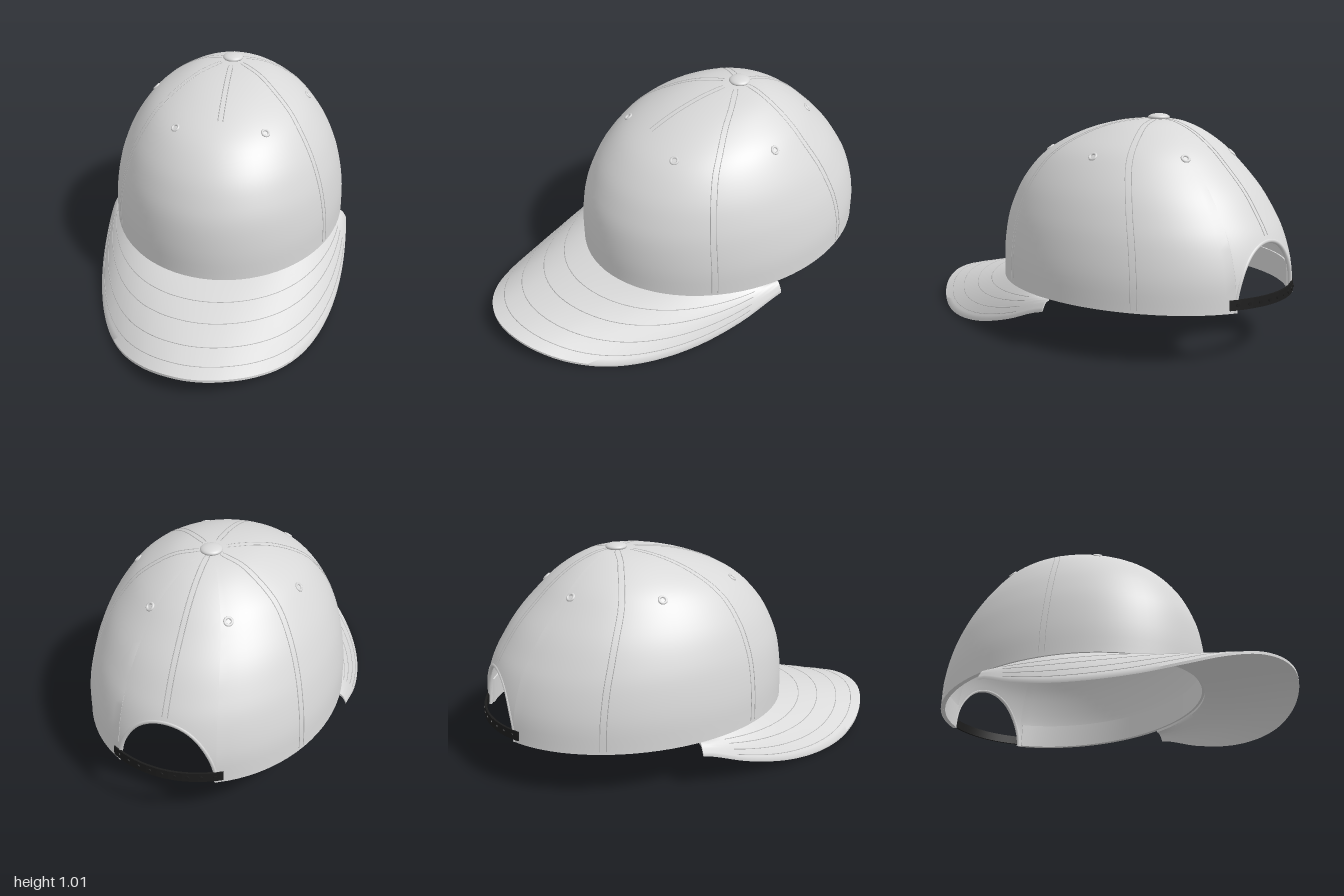
import * as THREE from 'three';
import { toCreasedNormals } from 'three/addons/utils/BufferGeometryUtils.js';

const V = (x, y, z) => new THREE.Vector3(x, y, z);
const PI = Math.PI;
const range = (n, f) => Array.from({ length: n + 1 }, (_, i) => f(i / n));

// Crown levels from base to apex: height, half width, front z, back z
const levels = [
  [0.23, 0.584, 0.473, -0.99], [0.365, 0.58, 0.472, -0.98], [0.5, 0.557, 0.455, -0.94],
  [0.6, 0.527, 0.42, -0.885], [0.7, 0.483, 0.365, -0.815], [0.8, 0.418, 0.275, -0.72],
  [0.87, 0.352, 0.17, -0.645], [0.93, 0.26, 0.035, -0.56], [0.968, 0.175, -0.1, -0.48],
  [0.986, 0.085, -0.22, -0.415], [0.992, 0, -0.335, -0.335],
];
const frontCurve = new THREE.CatmullRomCurve3(levels.map(([y, x, f]) => V(x, y, f)), false, 'catmullrom');
const backCurve = new THREE.CatmullRomCurve3(levels.map(([y, x, , b]) => V(x, y, b)), false, 'catmullrom');

// Point on the crown: t from base to apex, angle from the front towards +x, offset outwards
function crownPoint(t, angle, off = 0) {
  const f = frontCurve.getPoint(t), b = backCurve.getPoint(t);
  const rx = Math.max(0, f.x + off), rz = Math.max(0, (f.z - b.z) / 2 + off);
  return V(rx * Math.sin(angle), f.y + off * t, (f.z + b.z) / 2 + rz * Math.cos(angle));
}

// Skin over a row of sections; closed joins each section into a loop and caps both ends
function loft(sections, closed = true) {
  const n = sections[0].length, index = [];
  for (let i = 0; i < sections.length - 1; i++) {
    for (let j = 0; j < (closed ? n : n - 1); j++) {
      const k = (j + 1) % n;
      const a = i * n + j, b = i * n + k, c = a + n, d = b + n;
      index.push(a, b, c, c, b, d);
    }
  }
  if (closed) {
    const e = (sections.length - 1) * n;
    for (let j = 0; j < n / 2 - 1; j++) {
      const p = j, q = j + 1, r = n - 2 - j, s = n - 1 - j;
      index.push(p, r, q, p, s, r, e + p, e + q, e + r, e + p, e + r, e + s);
    }
  }
  const g = new THREE.BufferGeometry().setFromPoints(sections.flat());
  g.setIndex(index);
  return toCreasedNormals(g, 0.8);
}

// Brim edge heights from the centre to the side end
const edgeCurve = new THREE.SplineCurve(
  [0.09, 0.083, 0.058, 0.025, 0.004, 0.009, 0.04, 0.1, 0.178].map((y, i) => new THREE.Vector2(i / 8, y)));

// Point on the brim: u from -1 to 1 across, v from crown to outer edge
function brimPoint(u, v, lift = 0) {
  const inner = crownPoint(0, u * 1.489, -0.01);
  const psi = u * 1.662;
  const outer = V(0.617 * Math.sin(psi), edgeCurve.getPoint(Math.abs(u)).y + 0.012, -0.1 + 1.1 * Math.cos(psi));
  const p = inner.lerp(outer, v);
  p.y += lift + 0.015 * Math.sin(PI * v) * Math.sin(psi) ** 2;
  return p;
}

export function createModel() {
  const group = new THREE.Group();
  const paint = (name, color) => {
    const m = new THREE.MeshStandardMaterial({ color });
    m.name = name;
    return m;
  };
  const fabric = paint('light grey fabric', 0xd8d8d8);
  const thread = paint('grey thread', 0xbebebe);
  const plastic = paint('black plastic', 0x1c1c1c);
  const add = (name, geo, mat, parent = group) => {
    const mesh = new THREE.Mesh(geo, mat);
    mesh.name = name;
    parent.add(mesh);
    return mesh;
  };
  const subgroup = (name) => {
    const g = new THREE.Group();
    g.name = name;
    group.add(g);
    return g;
  };
  const cord = (pts, r, sides = 4) =>
    new THREE.TubeGeometry(new THREE.CatmullRomCurve3(pts), pts.length * 2, r, sides);

  // Crown shell: columns over the rear opening start on the arch
  const half = 0.39, archT = 0.2;
  const columns = [
    ...range(72, (s) => ({ a: -(PI - half) + s * 2 * (PI - half), t0: 0 })),
    ...range(32, (s) => ({ a: PI - half * Math.cos(PI * s), t0: archT * Math.sin(PI * s) })).slice(1),
  ];
  const rows = 36;
  add('crown', loft(columns.map(({ a, t0 }) => [
    ...range(rows, (s) => crownPoint(1 - s * (1 - t0), a)),
    ...range(rows, (s) => crownPoint(t0 + s * (1 - t0), a, -0.015)),
  ]), false), fabric);

  // Sweatband inside the base
  add('sweatband', loft(range(72, (s) => {
    const a = (s * 2 - 1) * (PI - 0.41);
    return [[0.09, -0.015], [0, -0.015], [0, -0.022], [0.09, -0.022]].map(([t, o]) => crownPoint(t, a, o));
  })), fabric);

  // Piping round the rear opening
  add('openingTrim', cord(range(32, (s) =>
    crownPoint(archT * Math.sin(PI * s), PI - half * Math.cos(PI * s), -0.007)), 0.01, 8), fabric);

  // Curved brim
  add('brim', loft(range(80, (s) => {
    const u = s * 2 - 1;
    return [
      ...range(14, (v) => brimPoint(u, v)),
      ...range(14, (v) => brimPoint(u, 1 - v, -0.012)),
    ];
  })), fabric);

  // Stitching: twin rows beside each panel seam, rows along the brim
  const stitching = subgroup('stitching');
  for (let i = 0; i < 6; i++) {
    const a = i * PI / 3;
    const start = i === 3 ? archT + 0.02 : i === 0 ? 0.62 : 0.01;
    for (const side of [-1, 1]) {
      add('seamStitch', cord(range(24, (s) => {
        const t = start + s * (0.93 - start);
        const spread = Math.min(0.15, 0.012 / frontCurve.getPoint(t).x);
        return crownPoint(t, a + side * spread);
      }), 0.002), thread, stitching);
    }
  }
  for (const v of [0.25, 0.47, 0.7, 0.88]) {
    add('brimStitch', cord(range(40, (s) => brimPoint((s * 2 - 1) * 0.9, v)), 0.002), thread, stitching);
  }

  // Eyelets, one in each panel
  const eyelets = subgroup('eyelets');
  for (const deg of [33, 97, 153]) {
    for (const side of [-1, 1]) {
      const a = side * deg * PI / 180, t = 0.555;
      const p = crownPoint(t, a);
      const across = crownPoint(t, a + 0.01).sub(p), up = crownPoint(t + 0.01, a).sub(p);
      const ring = add('eyelet', new THREE.TorusGeometry(0.016, 0.006, 8, 20), fabric, eyelets);
      ring.position.copy(p);
      ring.quaternion.setFromUnitVectors(V(0, 0, 1), across.cross(up).normalize());
    }
  }

  // Top button
  const button = add('topButton', new THREE.SphereGeometry(0.05, 28, 16), fabric);
  button.scale.y = 0.36;
  button.position.set(0, 0.996, -0.345);

  // Adjustable rear strap with snap studs
  const strap = subgroup('rearStrap');
  add('strapBand', loft(range(28, (s) => {
    const a = PI + (s * 2 - 1) * 0.44;
    return [[0.042, 0.006], [0.01, 0.006], [0.01, -0.004], [0.042, -0.004]].map(([t, o]) => crownPoint(t, a, o));
  })), plastic, strap);
  for (let i = -4; i <= 4; i++) {
    const a = PI + i * 0.095;
    const stud = add('snapStud', new THREE.CylinderGeometry(0.008, 0.008, 0.008, 10), plastic, strap);
    stud.position.copy(crownPoint(0.026, a, 0.006));
    stud.quaternion.setFromUnitVectors(V(0, 1, 0), V(Math.sin(a) * 1.2, 0, Math.cos(a)).normalize());
  }
  return group;
}
